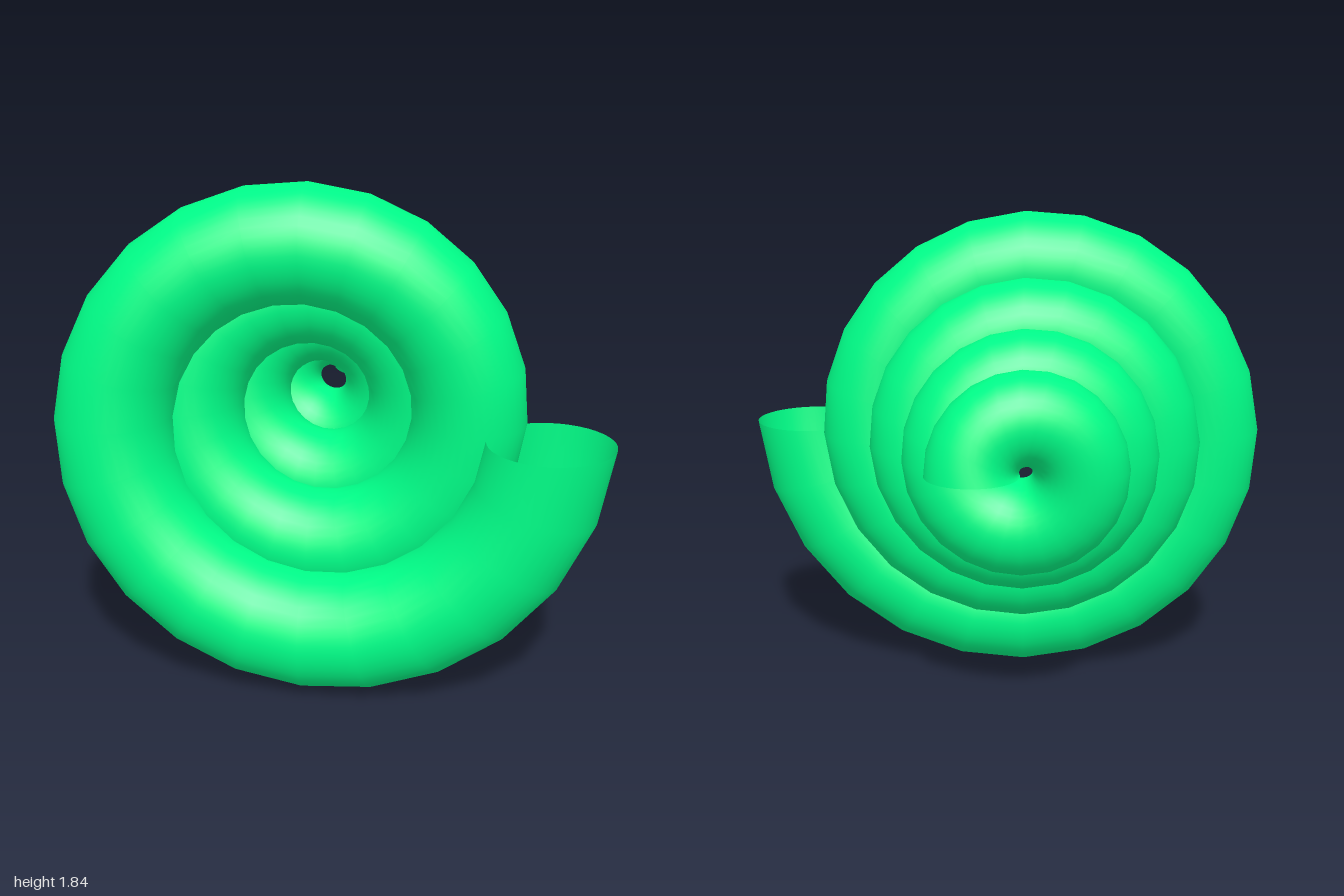
import * as THREE from 'three';

const TURNS = 4, STEPS = 24 * TURNS, SIDES = 40;

// Open tube wound around the z axis: the coil shrinks by a third per turn
// and steps evenly backwards, while the tube thins slightly.
function coilGeometry() {
  const positions = [], indices = [];
  for (let i = 0; i <= STEPS; i++) {
    const turn = (i / STEPS) * TURNS;
    const angle = -turn * Math.PI * 2;
    const coilRadius = 0.859 * Math.pow(0.667, turn);
    const tubeRadius = 0.2215 * Math.pow(0.93, turn);
    const z = 0.397 - 0.2125 * turn;
    for (let j = 0; j < SIDES; j++) {
      const v = (j / SIDES) * Math.PI * 2;
      const r = coilRadius + tubeRadius * Math.cos(v);
      positions.push(r * Math.cos(angle), r * Math.sin(angle), z + tubeRadius * Math.sin(v));
    }
  }
  for (let i = 0; i < STEPS; i++) {
    for (let j = 0; j < SIDES; j++) {
      const k = (j + 1) % SIDES;
      const a = i * SIDES + j, b = i * SIDES + k;
      indices.push(a, b, a + SIDES, b, b + SIDES, a + SIDES);
    }
  }
  const geometry = new THREE.BufferGeometry();
  geometry.setAttribute('position', new THREE.Float32BufferAttribute(positions, 3));
  geometry.setIndex(indices);
  geometry.computeVertexNormals();
  return geometry;
}

export function createModel() {
  const group = new THREE.Group();
  group.name = 'spiralShell';
  const material = new THREE.MeshStandardMaterial({ color: 0x00ff88, side: THREE.DoubleSide });

  // Hollow shell, open at both ends
  const shell = new THREE.Mesh(coilGeometry(), material);
  shell.name = 'shellCoil';
  shell.position.set(-0.0805, 1, 0);
  group.add(shell);
  return group;
}
